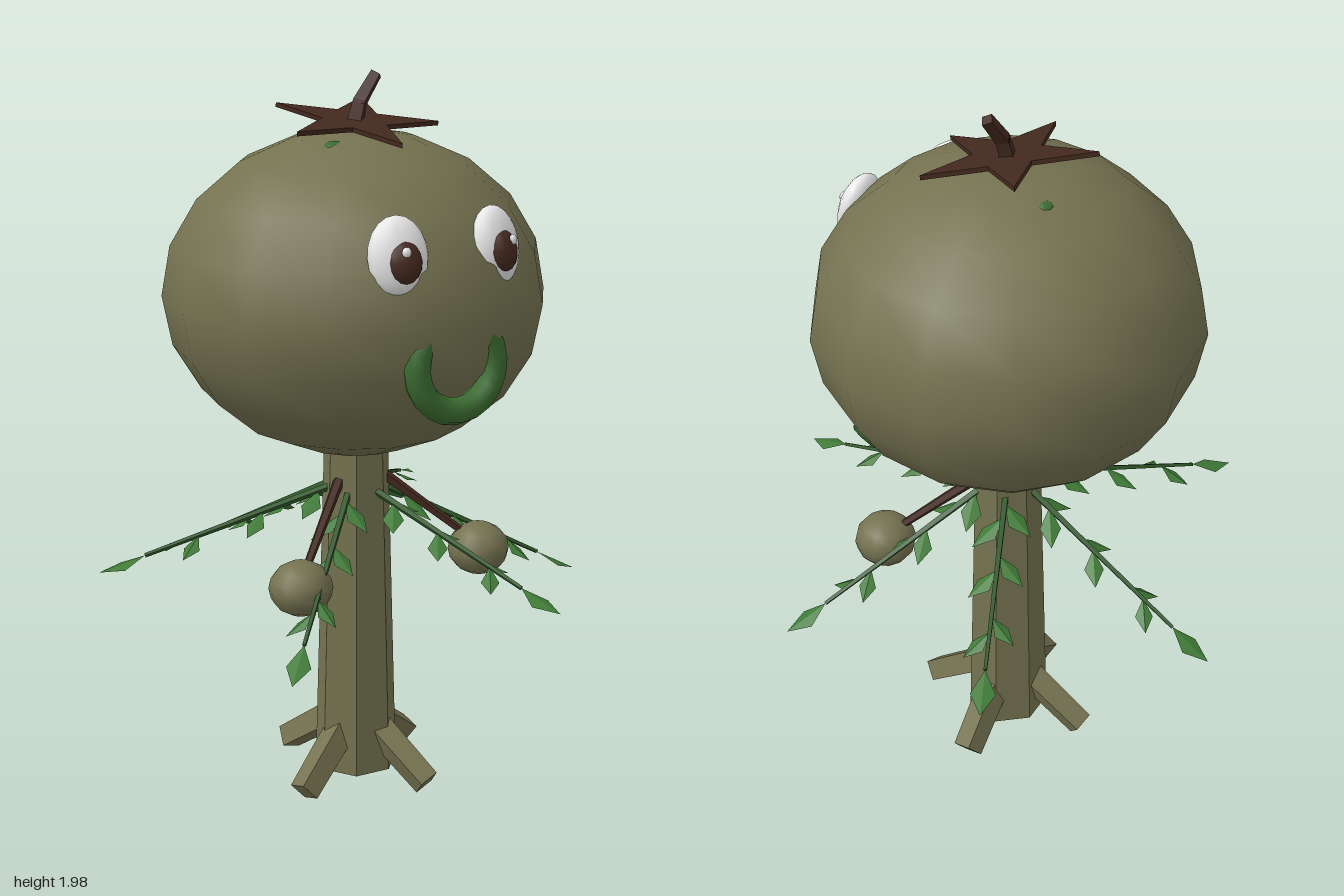
import * as THREE from 'three';

const V = (x, y, z) => new THREE.Vector3(x, y, z);
const UP = V(0, 1, 0);
const CX = 0.025, CZ = -0.03; // trunk axis

export function createModel() {
  const model = new THREE.Group();
  const mat = (name, color, side = THREE.FrontSide) => {
    const m = new THREE.MeshStandardMaterial({ color, side });
    m.name = name;
    return m;
  };
  const skin = mat('olive skin', 0x747250);
  const bark = mat('olive bark', 0x757350);
  const brown = mat('dark brown', 0x44291f);
  const leafGreen = mat('leaf green', 0x3f7a37, THREE.DoubleSide);
  const vineGreen = mat('vine green', 0x30582a);
  const lipGreen = mat('lip green', 0x3b6c31);
  const white = mat('eye white', 0xf0f0f0);

  const add = (name, geo, material, parent = model) => {
    const m = new THREE.Mesh(geo, material);
    m.name = name;
    parent.add(m);
    return m;
  };
  // faceted copy of a geometry
  const flat = (geo) => {
    const g = geo.index ? geo.toNonIndexed() : geo;
    g.computeVertexNormals();
    return g;
  };
  // straight tapered limb between two points
  const limb = (name, a, b, ra, rb, sides, material, parent = model) => {
    const d = b.clone().sub(a);
    const m = add(name, flat(new THREE.CylinderGeometry(rb, ra, d.length(), sides)), material, parent);
    m.position.copy(a).add(b).multiplyScalar(0.5);
    m.quaternion.setFromUnitVectors(UP, d.normalize());
    return m;
  };
  const ball = (name, material, pos, size, ws, hs, parent = model) => {
    const m = add(name, new THREE.SphereGeometry(1, ws, hs), material, parent);
    m.position.copy(pos);
    m.scale.set(...size);
    return m;
  };

  // head
  ball('head', skin, V(CX, 1.42, CZ), [0.51, 0.43, 0.51], 14, 10);

  // trunk
  const trunk = add('trunk', flat(new THREE.CylinderGeometry(0.09, 0.118, 0.94, 7)), bark);
  trunk.position.set(CX + 0.005, 0.52, CZ);
  trunk.rotation.y = 0.35;

  // four roots, turned slightly off the axes
  for (let i = 0; i < 4; i++) {
    const a = 0.38 + i * Math.PI / 2;
    const at = (r, y) => V(CX + 0.005 + Math.sin(a) * r, y, CZ + Math.cos(a) * r);
    limb('root', at(0.06, 0.18), at(0.245, 0.045), 0.046, 0.042, 4, bark);
  }

  // star-shaped cap and bent stem
  const star = new THREE.Shape();
  for (let i = 0; i < 10; i++) {
    const a = i * Math.PI / 5, r = i % 2 ? 0.088 : 0.225;
    const p = [Math.sin(a) * r, -Math.cos(a) * r];
    if (i) star.lineTo(...p); else star.moveTo(...p);
  }
  star.closePath();
  const cap = add('starCap', new THREE.ExtrudeGeometry(star, { depth: 0.012, bevelEnabled: false }), brown);
  cap.position.set(CX, 1.862, CZ);
  cap.rotation.x = -Math.PI / 2 + 0.18;
  limb('stemBase', V(0.025, 1.86, CZ), V(0.042, 1.92, CZ), 0.026, 0.022, 4, brown);
  limb('stemTip', V(0.038, 1.912, CZ), V(0.09, 1.985, CZ), 0.022, 0.018, 4, brown);

  // eyes
  for (const s of [-1, 1]) {
    const eye = new THREE.Group();
    eye.name = s > 0 ? 'leftEye' : 'rightEye';
    eye.position.set(CX + s * 0.145, 1.597, 0.393);
    eye.rotation.set(-0.22, s * 0.27, 0, 'YXZ');
    model.add(eye);
    ball('eyeball', white, V(0, 0, 0), [0.077, 0.1, 0.043], 14, 10, eye);
    ball('pupil', brown, V(-s * 0.008, -0.015, 0.03), [0.043, 0.052, 0.026], 12, 8, eye);
    ball('glint', white, V(0.006, 0.008, 0.052), [0.012, 0.013, 0.008], 8, 6, eye);
  }

  // ring mouth, its top sunk into the head
  const mouth = add('mouth', new THREE.TorusGeometry(0.116, 0.035, 8, 20), lipGreen);
  mouth.position.set(CX, 1.32, 0.434);
  mouth.rotation.x = -0.09;

  // small green spots on the head
  const spots = [[0.03, 0.39, -0.17, 0.02], [-0.125, 0.409, 0.09, 0.026],
    [0.42, -0.24, 0.07, 0.05], [0.135, -0.398, -0.135, 0.035]];
  for (const [x, y, z, r] of spots) {
    const n = V(x / 0.26, y / 0.185, z / 0.26).normalize();
    const k = 0.985 / Math.hypot(x / 0.51, y / 0.43, z / 0.51);
    const spot = ball('spot', lipGreen, V(CX + x * k, 1.42 + y * k, CZ + z * k), [r, 0.008, r * 0.8], 8, 6);
    spot.quaternion.setFromUnitVectors(UP, n);
  }

  // hanging fruit on twigs
  for (const s of [-1, 1]) {
    limb('twig', V(CX + s * 0.07, 0.91, 0.0), V(CX + s * 0.26, 0.735, 0.14), 0.016, 0.011, 5, brown);
    ball('fruit', skin, V(CX + s * 0.285, 0.7, 0.16), [0.085, 0.073, 0.085], 12, 8);
  }

  // creased diamond leaf growing from p along dir
  const leaf = (p, dir, len, parent) => {
    const d = dir.clone().normalize();
    const side = d.clone().cross(UP).normalize();
    const n = side.clone().cross(d);
    const mid = p.clone().addScaledVector(d, len * 0.5).addScaledVector(n, -0.008);
    const l = mid.clone().addScaledVector(side, -len * 0.25);
    const r = mid.clone().addScaledVector(side, len * 0.25);
    const tip = p.clone().addScaledVector(d, len);
    const g = new THREE.BufferGeometry().setFromPoints([p, r, tip, p, tip, l]);
    g.computeVertexNormals();
    add('leaf', g, leafGreen, parent);
  };

  // six vines, alternately shallow and steep, given by their tips
  const tips = [[-0.66, 0.7, -0.22], [-0.44, 0.565, 0.42], [0.2, 0.7, 0.66],
    [0.66, 0.565, 0.15], [0.54, 0.7, -0.53], [-0.13, 0.565, -0.67]];
  for (const t of tips) {
    const vine = new THREE.Group();
    vine.name = 'leafyVine';
    model.add(vine);
    const tip = V(...t);
    const out = V(t[0] - CX, 0, t[2] - CZ).normalize();
    const start = V(CX, 0.885, CZ).addScaledVector(out, 0.06);
    const dir = tip.clone().sub(start).normalize();
    const end = tip.clone().addScaledVector(dir, -0.13);
    limb('vineStem', start, end, 0.011, 0.006, 4, vineGreen, vine);
    leaf(end, dir, 0.13, vine);
    const across = out.clone().cross(UP);
    [0.12, 0.42, 0.76].forEach((f, i) => {
      for (const s of [-1, 1]) {
        const p = start.clone().lerp(end, f + s * 0.04);
        const ld = dir.clone().multiplyScalar(0.65).addScaledVector(across, s * 0.7);
        ld.y -= 0.3;
        leaf(p, ld, 0.115 - i * 0.01, vine);
      }
    });
  }
  return model;
}
